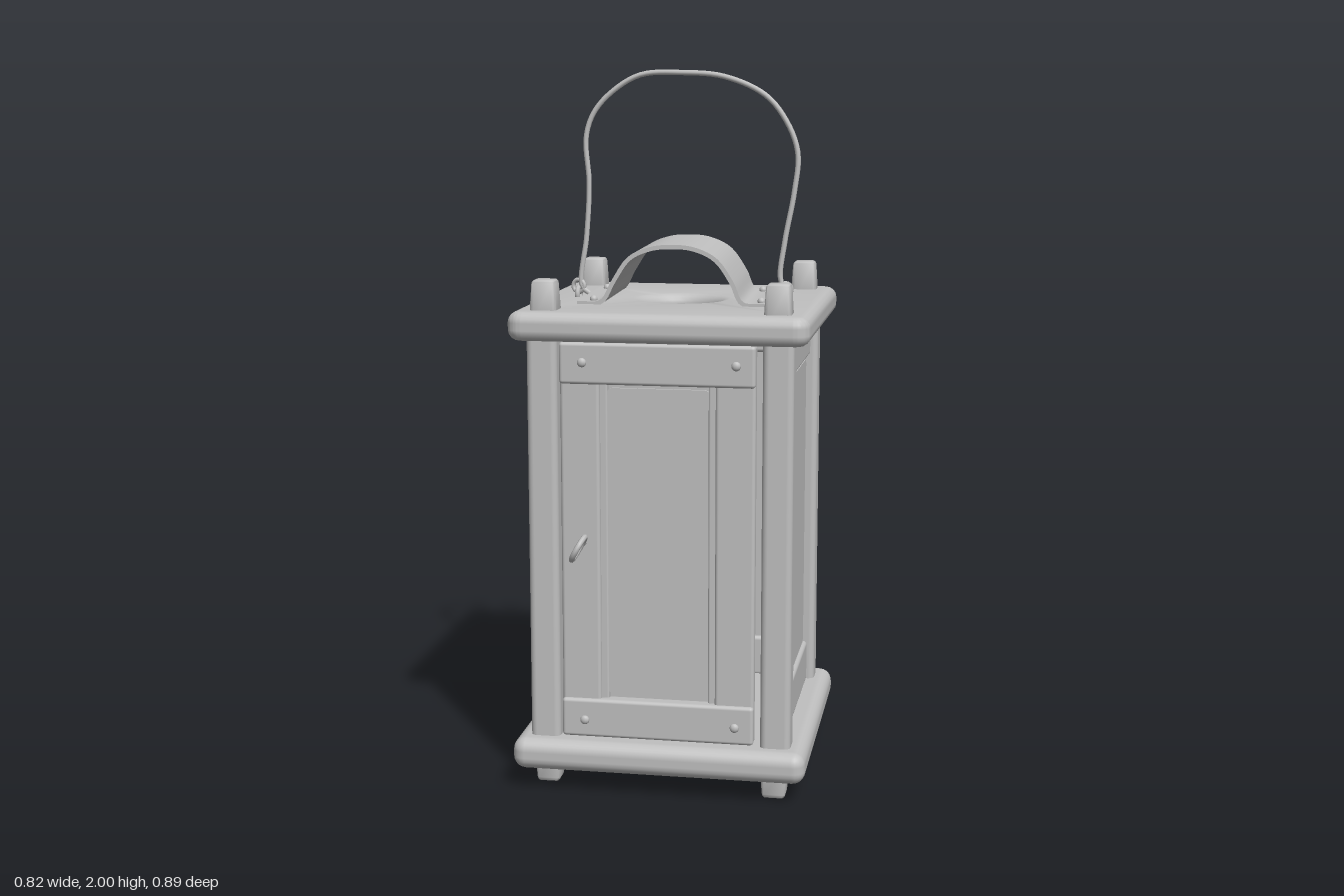
import * as THREE from 'three';
import { RoundedBoxGeometry } from 'three/addons/geometries/RoundedBoxGeometry.js';
import { toCreasedNormals } from 'three/addons/utils/BufferGeometryUtils.js';

const ZC = -0.025; // centre of the lantern body in z

export function createModel() {
  const lantern = new THREE.Group();
  lantern.name = 'lantern';
  const grey = new THREE.MeshStandardMaterial({ color: 0xc0c0c0 });
  grey.name = 'grey';

  function add(name, geometry, x = 0, y = 0, z = 0, parent = lantern) {
    const mesh = new THREE.Mesh(geometry, grey);
    mesh.name = name;
    mesh.position.set(x, y, z);
    parent.add(mesh);
    return mesh;
  }
  const block = (w, h, d, r) => new RoundedBoxGeometry(w, h, d, 3, r);

  // Outline of a rectangle with rounded corners
  function roundedRect(w, d, r) {
    const s = new THREE.Shape();
    const x = w / 2, y = d / 2;
    s.moveTo(-x + r, -y);
    s.lineTo(x - r, -y).quadraticCurveTo(x, -y, x, -y + r);
    s.lineTo(x, y - r).quadraticCurveTo(x, y, x - r, y);
    s.lineTo(-x + r, y).quadraticCurveTo(-x, y, -x, y - r);
    s.lineTo(-x, -y + r).quadraticCurveTo(-x, -y, -x + r, -y);
    return s;
  }

  // Base board
  add('baseBoard', block(0.825, 0.09, 0.83, 0.036), 0, 0.105, ZC);

  // Roof board with a round smoke hole
  const roof = roundedRect(0.765, 0.77, 0.015);
  const hole = new THREE.Path();
  hole.absellipse(0, 0, 0.14, 0.14, 0, Math.PI * 2, true);
  roof.holes.push(hole);
  const roofGeometry = new THREE.ExtrudeGeometry(roof, {
    depth: 0.02, bevelEnabled: true, bevelThickness: 0.03, bevelSize: 0.03, bevelSegments: 4, curveSegments: 16,
  });
  roofGeometry.translate(0, 0, -0.01);
  roofGeometry.rotateX(-Math.PI / 2);
  add('roofBoard', toCreasedNormals(roofGeometry, 0.6), 0, 1.315, ZC);

  // Corner posts with tapered tenons through both boards
  function tenon(height, direction) {
    const g = block(0.08, height, 0.08, 0.012);
    const p = g.attributes.position;
    for (let i = 0; i < p.count; i++) {
      const t = 0.5 + direction * p.getY(i) / height;
      const k = 1 - 0.2 * t;
      p.setX(i, p.getX(i) * k);
      p.setZ(i, p.getZ(i) * k);
    }
    g.computeVertexNormals();
    return toCreasedNormals(g, 0.7);
  }
  for (const sx of [-1, 1]) {
    for (const z of [0.298, -0.345]) {
      add('cornerPost', block(0.085, 1.16, 0.085, 0.018), sx * 0.325, 0.71, z);
      add('upperTenon', tenon(0.13, 1), sx * 0.321, 1.372, z - 0.003);
      add('lowerTenon', tenon(0.1, -1), sx * 0.321, sx > 0 ? 0.05 : 0.06, z);
    }
  }

  // Fixed window on the sides and back: rails, thin stiles and pane
  function windowSide(name, span, x, z, turn) {
    const side = new THREE.Group();
    side.name = name;
    side.position.set(x, 0, z);
    side.rotation.y = turn;
    lantern.add(side);
    add('topRail', block(span + 0.03, 0.115, 0.04, 0.012), 0, 1.217, -0.02, side);
    add('bottomRail', block(span + 0.03, 0.125, 0.04, 0.012), 0, 0.207, -0.02, side);
    for (const s of [-1, 1]) {
      add('stile', block(0.03, 0.9, 0.02, 0.005), s * (span / 2 + 0.005), 0.71, -0.022, side);
    }
    const pane = new THREE.ExtrudeGeometry(roundedRect(span - 0.025, 0.875, 0.02), { depth: 0.008, bevelEnabled: false });
    add('pane', pane, 0, 0.712, -0.018, side);
    add('paneBacking', new THREE.BoxGeometry(span + 0.03, 0.92, 0.008), 0, 0.71, -0.025, side);
  }
  windowSide('leftWindow', 0.555, 0.345, ZC, Math.PI / 2);
  windowSide('rightWindow', 0.555, -0.345, ZC, -Math.PI / 2);
  windowSide('backWindow', 0.56, 0, -0.365, Math.PI);

  // Front door: rails nailed over stiles, narrow pane
  const door = new THREE.Group();
  door.name = 'door';
  lantern.add(door);
  add('doorTopRail', block(0.54, 0.115, 0.045, 0.01), -0.005, 1.214, 0.322, door);
  add('doorBottomRail', block(0.54, 0.11, 0.045, 0.01), -0.005, 0.21, 0.322, door);
  for (const s of [-1, 1]) {
    add('doorStile', block(0.11, 1.0, 0.035, 0.01), s * 0.215 - 0.005, 0.71, 0.316, door);
    add('doorBead', block(0.035, 0.9, 0.022, 0.006), s * 0.157 - 0.005, 0.71, 0.31, door);
  }
  const doorPane = new THREE.ExtrudeGeometry(roundedRect(0.285, 0.87, 0.018), { depth: 0.008, bevelEnabled: false });
  add('doorPane', doorPane, -0.004, 0.71, 0.309, door);
  add('doorPaneBacking', new THREE.BoxGeometry(0.33, 0.92, 0.008), -0.004, 0.71, 0.301, door);

  // Door nails
  for (const x of [-0.21, 0.213]) {
    for (const y of [0.205, 1.217]) {
      const nail = add('doorNail', new THREE.SphereGeometry(0.013, 10, 8), x, y, 0.345, door);
      nail.scale.z = 0.7;
    }
  }

  // Pull ring on the door, slightly tilted
  const pull = new THREE.Group();
  pull.name = 'doorPull';
  pull.position.set(-0.211, 0.713, 0.402);
  pull.rotation.z = -0.5;
  const ring = add('pullRing', new THREE.TorusGeometry(0.036, 0.008, 8, 20), 0, 0, 0, pull);
  ring.rotation.y = Math.PI / 2;
  const shank = add('pullShank', new THREE.CylinderGeometry(0.008, 0.008, 0.04, 8), 0, 0, -0.055, pull);
  shank.rotation.x = Math.PI / 2;
  door.add(pull);

  // Bent sheet shield over the smoke hole, set a little askew
  const shield = new THREE.Group();
  shield.name = 'smokeShield';
  shield.position.z = ZC;
  shield.rotation.y = 0.035;
  lantern.add(shield);
  const curve = new THREE.CatmullRomCurve3([
    [-0.268, 1.358], [-0.2, 1.362], [-0.165, 1.42], [-0.12, 1.484], [-0.06, 1.511], [0, 1.517],
    [0.06, 1.511], [0.12, 1.482], [0.165, 1.42], [0.195, 1.362], [0.268, 1.358],
  ].map(([x, y]) => new THREE.Vector3(x, y, 0)));
  const outer = [], inner = [];
  for (let i = 0; i <= 44; i++) {
    const p = curve.getPoint(i / 44), t = curve.getTangent(i / 44);
    outer.push(new THREE.Vector2(p.x - t.y * 0.006, p.y + t.x * 0.006));
    inner.push(new THREE.Vector2(p.x + t.y * 0.006, p.y - t.x * 0.006));
  }
  const sheet = new THREE.ExtrudeGeometry(new THREE.Shape([...outer, ...inner.reverse()]), { depth: 0.365, bevelEnabled: false });
  sheet.translate(0, 0, -0.1825);
  add('shieldSheet', toCreasedNormals(sheet, 0.7), 0, 0, 0, shield);
  for (const [x, z] of [[-0.24, -0.148], [0.222, -0.148], [-0.227, 0.148], [0.245, 0.148]]) {
    add('shieldNail', new THREE.SphereGeometry(0.011, 10, 8), x, 1.366, z, shield);
  }

  // Wire handle, leaning back slightly at the top
  const wire = new THREE.CatmullRomCurve3([
    [-0.268, 1.365], [-0.29, 1.385], [-0.276, 1.53], [-0.269, 1.68], [-0.278, 1.81], [-0.255, 1.88], [-0.2, 1.94],
    [-0.12, 1.985], [0, 1.991], [0.12, 1.98], [0.235, 1.93], [0.295, 1.86], [0.33, 1.77], [0.322, 1.66],
    [0.297, 1.52], [0.287, 1.41], [0.31, 1.375],
  ].map(([x, y]) => new THREE.Vector3(x, y, -0.022 - 0.028 * (y - 1.36) / 0.63)));
  add('handle', new THREE.TubeGeometry(wire, 90, 0.0075, 8));

  // Staples in the roof and wire eyes that hold the handle
  for (const s of [-1, 1]) {
    const staple = add('handleStaple', new THREE.TorusGeometry(0.02, 0.0075, 8, 16), s * 0.3, 1.362, -0.027);
    staple.rotation.y = Math.PI / 2;
    const eye = add('handleEye', new THREE.TorusGeometry(0.018, 0.0065, 8, 16), s * 0.3, 1.385, -0.027);
    eye.rotation.y = 0.3 * s;
  }

  return lantern;
}
